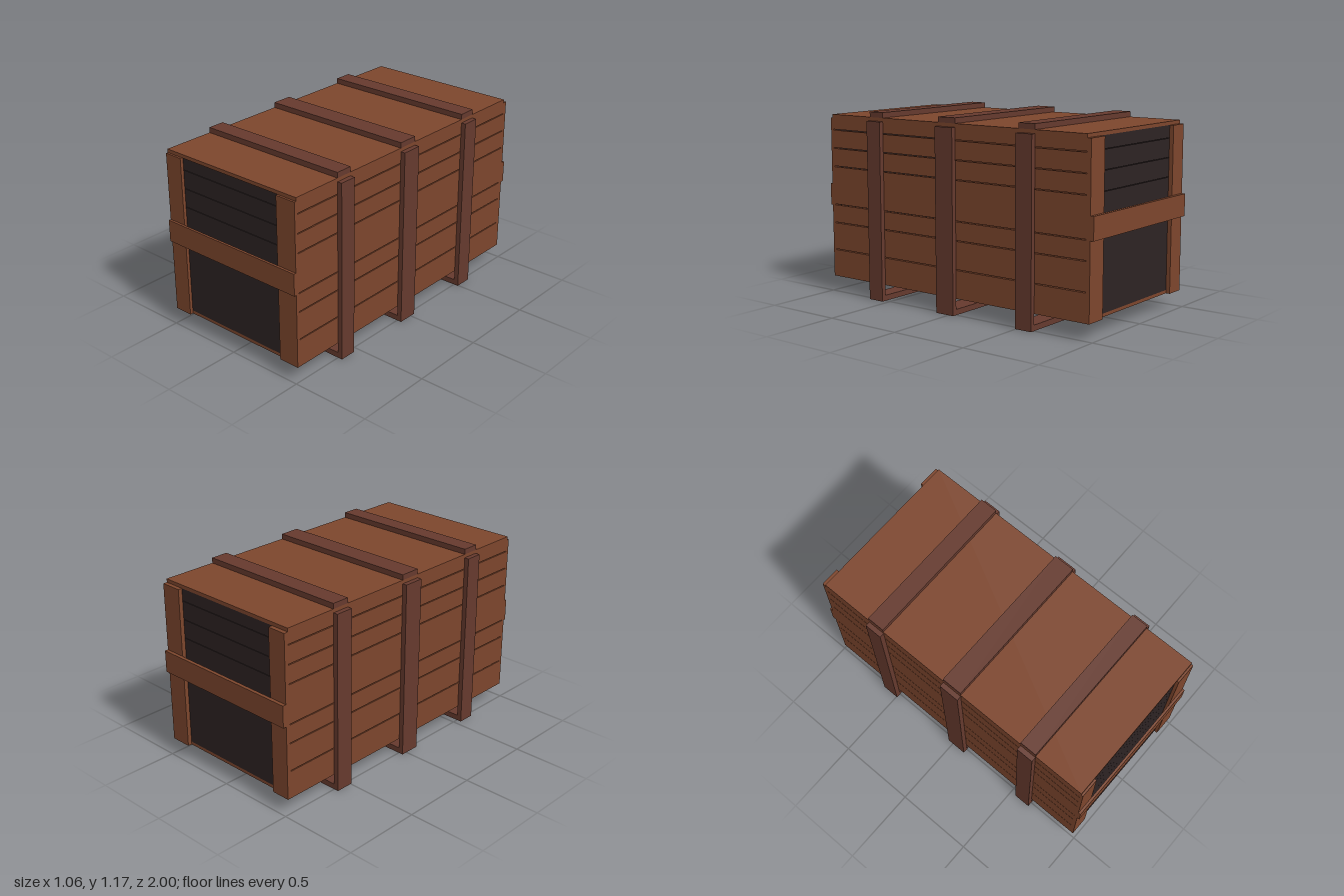
import * as THREE from 'three';

export function createModel() {
  const crate = new THREE.Group();
  crate.name = 'crate';

  const material = (name, color) => {
    const m = new THREE.MeshStandardMaterial({ color });
    m.name = name;
    return m;
  };
  const wood = material('brown wood', 0x7d462d);
  const strapWood = material('reddish strap wood', 0x663a2e);
  const dark = material('dark panel wood', 0x2d2323);

  // Box given by its limits on each axis
  const slab = (name, mat, [x0, x1], [y0, y1], [z0, z1], parent = crate) => {
    const mesh = new THREE.Mesh(new THREE.BoxGeometry(x1 - x0, y1 - y0, z1 - z0), mat);
    mesh.position.set((x0 + x1) / 2, (y0 + y1) / 2, (z0 + z1) / 2);
    mesh.name = name;
    parent.add(mesh);
    return mesh;
  };

  const back = -0.952, front = 0.965;
  const seams = [0.1, 0.275, 0.45, 0.567, 0.812, 0.929, 1.045, 1.12];
  const gap = 0.003;

  // Floor and lid
  slab('floor', wood, [-0.5, 0.5], [0.1, 0.12], [back, front]);
  slab('lid', wood, [-0.5, 0.5], [1.12, 1.142], [back, 0.972]);

  // Side planks, with narrow gaps between them
  for (let i = 0; i < seams.length - 1; i++) {
    const y = [seams[i] + (i ? gap : 0), seams[i + 1] - (i < seams.length - 2 ? gap : 0)];
    slab('leftPlank', wood, [0.478, 0.5], y, [back, front]);
    slab('rightPlank', wood, [-0.5, -0.478], y, [back, front]);
  }

  // Ends: dark planks, corner posts and a cross board
  const ends = [
    { name: 'front', panel: [0.945, front], post: [front, 0.985], band: [0.985, 1] },
    { name: 'back', panel: [back, -0.932], post: [-0.978, back], band: [-1, -0.978] },
  ];
  const panelSeams = [0.12, 0.63, 0.812, 0.929, 1.045, 1.12];
  for (const end of ends) {
    const group = new THREE.Group();
    group.name = end.name + 'End';
    crate.add(group);
    for (let i = 0; i < panelSeams.length - 1; i++) {
      const y = [panelSeams[i], panelSeams[i + 1] - (i < 4 ? gap : 0)];
      slab('darkPlank', dark, [-0.478, 0.478], y, end.panel, group);
    }
    slab('rightPost', wood, [-0.5, -0.38], [0.1, 1.12], end.post, group);
    slab('leftPost', wood, [0.365, 0.5], [0.1, 1.12], end.post, group);
    slab('crossBoard', wood, [-0.5, 0.5], [0.563, 0.7], end.band, group);
  }

  // Three strap frames around the crate
  for (const z of [[0.537, 0.645], [-0.036, 0.095], [-0.608, -0.495]]) {
    const strap = new THREE.Group();
    strap.name = 'strapFrame';
    crate.add(strap);
    slab('leftStrap', strapWood, [0.5, 0.53], [0, 1.12], z, strap);
    slab('rightStrap', strapWood, [-0.53, -0.5], [0, 1.12], z, strap);
    slab('topBatten', strapWood, [-0.5, 0.5], [1.142, 1.175], z, strap);
    slab('bottomRunner', strapWood, [-0.5, 0.5], [0, 0.035], z, strap);
  }

  return crate;
}
